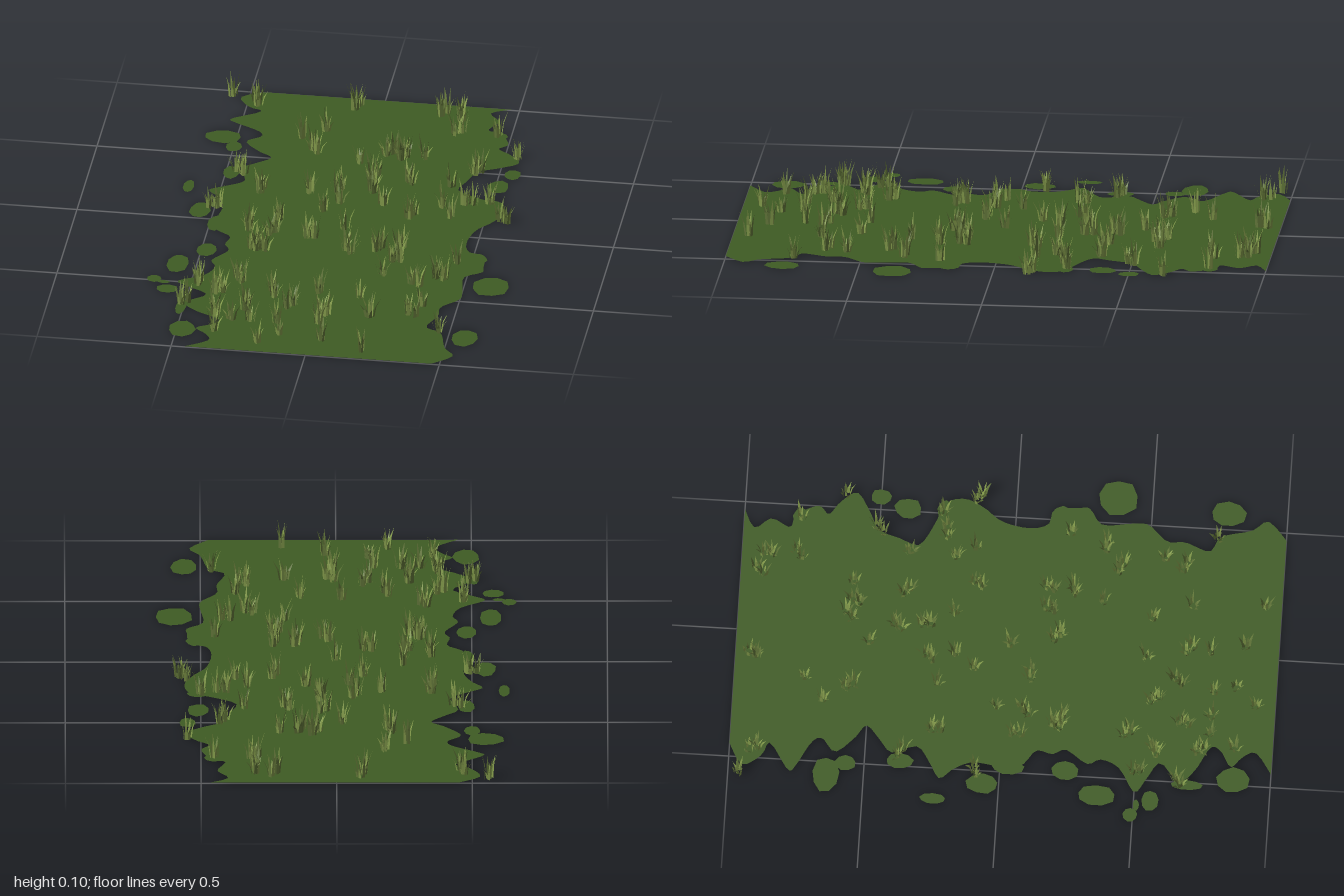
import * as THREE from 'three';
import { mergeGeometries } from 'three/addons/utils/BufferGeometryUtils.js';

const mat = (name, color) => new THREE.MeshStandardMaterial({ name, color, side: THREE.DoubleSide });

// Wavy long edges of the turf as x, z pairs in hundredths, back to front
const LEFT_EDGE = [-45, -100, -53, -95, -49, -88, -44, -85, -54, -78, -52, -75, -43, -70, -41, -66, -46, -61, -40, -54, -35, -50, -40, -45, -45, -40, -42, -31,
  -48, -26, -54, -22, -50, -17, -47, -10, -48, 0, -47, 8, -41, 13, -42, 19, -40, 24, -45, 32, -43, 37, -46, 44, -55, 50, -50, 54, -43, 59, -50, 66,
  -45, 72, -36, 77, -37, 81, -43, 85, -39, 89, -37, 94, -45, 100];
const RIGHT_EDGE = [47, -100, 40, -96, 44, -90, 41, -83, 46, -81, 50, -73, 47, -69, 52, -65, 56, -59, 49, -54, 42, -50, 39, -42, 37, -35, 45, -30,
  54, -26, 56, -19, 53, -12, 48, -5, 46, 5, 48, 12, 54, 14, 55, 23, 55, 27, 49, 32, 50, 42, 50, 49, 44, 56, 44, 63, 41, 72, 47, 76, 50, 87, 54, 93, 47, 100];

// Loose patches beside the turf: x, z, half width, half depth in hundredths
const PATCHES = [
  [-55, -64, 7, 5], [-50, -57, 3, 4], [-62, -24, 2, 5], [-55, -6, 4, 6], [-48, -37, 3, 5], [-48, 3, 3, 6],
  [-48, 24, 4, 5], [-57, 36, 4, 7], [-64, 49, 2.8, 2.6], [-60, 51, 2.2, 1.2], [-58, 56, 4, 3.2], [-51, 69, 2, 6], [-48, 86, 5, 6],
  [55, -50, 3, 4], [51, -40, 4, 5], [60, 37, 7, 7.5], [56, 78, 5, 6.5], [45, -79, 4, 3.2], [52, 17, 3.5, 4], [51, -26, 4, 3],
];

// Grass clumps: x, z pairs in hundredths
const CLUMPS = [-46, -90, -9, -95, 24, -94, 30, -89, 29, -78, 9, -60, 14, -58, -19, -56, 43, -51, -46, -38, 4, -40, 19, -37, -6, -30, 6, -29, -35, -23,
  41, -25, 58, -13, -49, -9, 22, -11, -35, 7, -25, 7, -13, 9, -32, 21, -27, 22, 3, 17, 14, 16, 23, 13, 24, 23, 31, 39, 39, 34, -33, 45, -47, 52, -19, 54,
  -40, 57, -49, 65, -27, 65, -12, 65, 1, 66, 33, 63, -38, 72, -31, 77, -24, 77, -14, 77,
  -56, -96, 45, -79, -18, -74, -26, -67, 21, -58, -2, -51, 55, -63, 34, -38, -17, -25, -5, -19, 11, -20, 33, -21, 50, -27, -10, -12, 37, -14, -25, -3, 0, 1,
  45, 21, 19, 34, -2, 51, 13, 53, 37, 56, 19, 67, 1, 75, 46, 75, -36, 86, -12, 85, -19, 93, 4, 88, 20, 94];
const PAIRED = 40; // the first clumps get a second tuft beside them

function seeded(seed) {
  return () => (seed = (seed * 16807) % 2147483647) / 2147483647;
}

function edgePoints(list) {
  const pts = [];
  // z is negated because the flat shape is turned face up
  for (let i = 0; i < list.length; i += 2) pts.push(new THREE.Vector2(list[i] / 100, -list[i + 1] / 100));
  return new THREE.SplineCurve(pts).getPoints(pts.length * 3);
}

function flat(points, y) {
  const geo = new THREE.ShapeGeometry(new THREE.Shape(points));
  return geo.rotateX(-Math.PI / 2).translate(0, y, 0);
}

// One tapering blade that bends outward along its heading
function bladeGeometry(x, z, heading, height, lean, width, twist) {
  const verts = [];
  const at = (t, side) => {
    const out = lean * t * t;
    const w = side * width * (1 - t * 0.45) / 2;
    return [x + Math.cos(heading) * out + Math.cos(twist) * w, height * t, z + Math.sin(heading) * out + Math.sin(twist) * w];
  };
  const a = at(0, -1), b = at(0, 1), c = at(0.55, 1), d = at(0.55, -1), tip = at(1, 0);
  verts.push(...a, ...b, ...c, ...a, ...c, ...d, ...d, ...c, ...tip);
  const geo = new THREE.BufferGeometry();
  geo.setAttribute('position', new THREE.Float32BufferAttribute(verts, 3));
  geo.computeVertexNormals();
  return geo;
}

export function createModel() {
  const group = new THREE.Group();
  const rand = seeded(4217);
  const turfGreen = mat('turf green', 0x3f5c23);
  const lightGrass = mat('light grass green', 0x82994a);
  const darkGrass = mat('dark grass green', 0x63773a);
  const add = (name, geo, material) => {
    const mesh = new THREE.Mesh(geo, material);
    mesh.name = name;
    group.add(mesh);
  };

  // Main strip of turf with ragged sides
  add('turfStrip', flat([...edgePoints(LEFT_EDGE), ...edgePoints(RIGHT_EDGE).reverse()], 0.003), turfGreen);

  // Loose irregular patches
  const patches = PATCHES.map(([x, z, rx, rz]) => {
    const pts = [];
    for (let i = 0; i < 9; i++) {
      const a = (i / 9) * Math.PI * 2;
      const r = (0.92 + rand() * 0.16) / 100;
      pts.push(new THREE.Vector2(x / 100 + Math.cos(a) * rx * r, -z / 100 + Math.sin(a) * rz * r));
    }
    return flat(pts, 0.001);
  });
  add('turfPatches', mergeGeometries(patches), turfGreen);

  // Grass tufts, each a fan of bent blades
  const light = [], dark = [];
  const tuft = (x, z) => {
    const count = 8 + Math.floor(rand() * 3);
    for (let i = 0; i < count; i++) {
      const heading = (i / count) * Math.PI * 2 + rand() * 0.6;
      const foot = 0.004 + rand() * 0.012;
      const height = 0.045 + rand() * 0.06;
      const blade = bladeGeometry(
        x + Math.cos(heading) * foot, z + Math.sin(heading) * foot,
        heading, height, 0.006 + rand() * 0.022, 0.009 + rand() * 0.005,
        heading + Math.PI / 2 + (rand() - 0.5));
      (rand() < 0.55 ? light : dark).push(blade);
    }
  };
  for (let i = 0; i < CLUMPS.length; i += 2) {
    const x = CLUMPS[i] / 100, z = CLUMPS[i + 1] / 100;
    tuft(x, z);
    if (i / 2 < PAIRED) {
      const a = rand() * Math.PI * 2;
      tuft(x + Math.cos(a) * 0.03, z + Math.sin(a) * 0.03);
    }
  }
  add('lightGrassBlades', mergeGeometries(light), lightGrass);
  add('darkGrassBlades', mergeGeometries(dark), darkGrass);
  return group;
}
